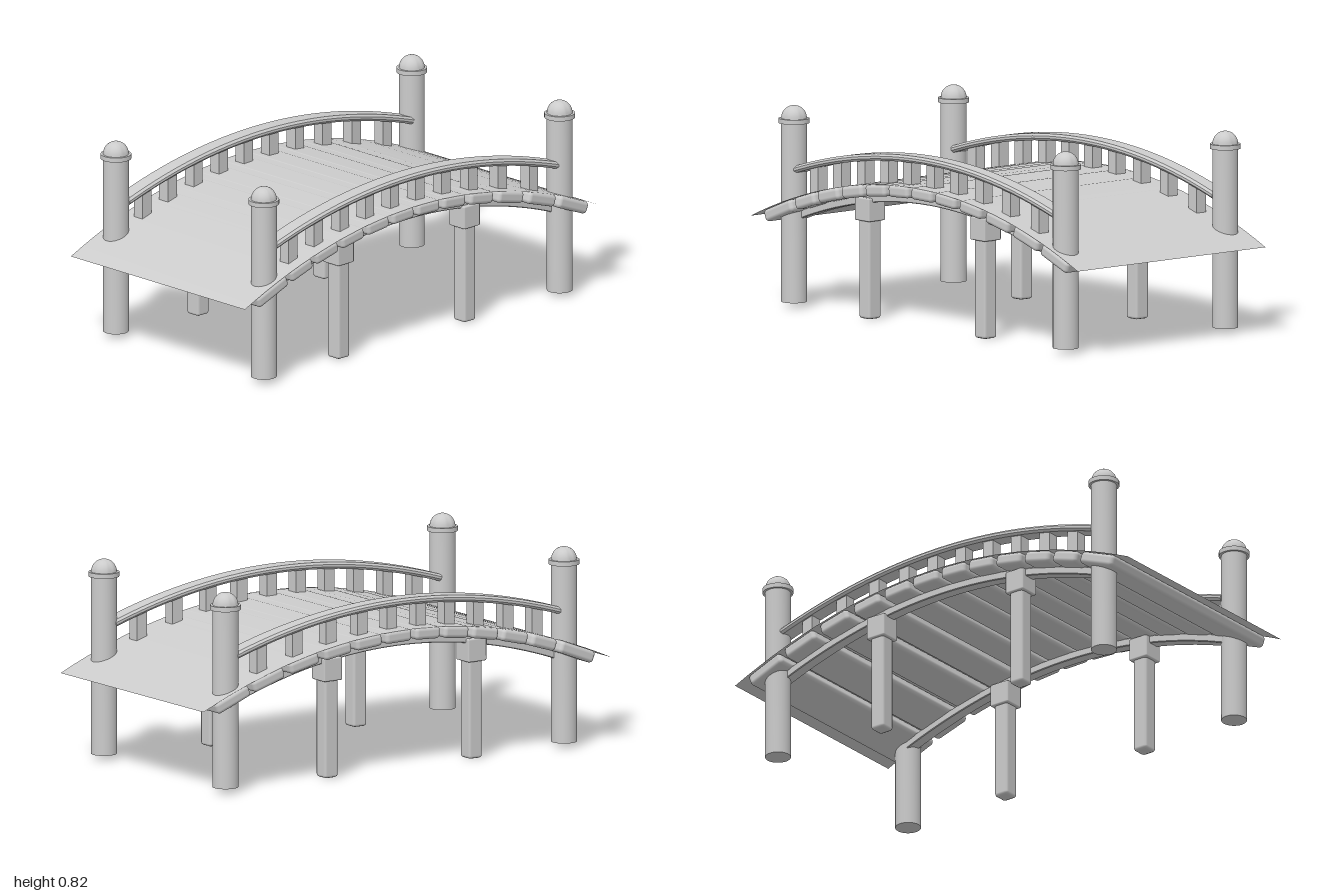
import * as THREE from 'three';
import { RoundedBoxGeometry } from 'three/addons/geometries/RoundedBoxGeometry.js';
import { toCreasedNormals } from 'three/addons/utils/BufferGeometryUtils.js';

const grey = new THREE.MeshStandardMaterial({ color: 0xcccccc });
const greyThin = new THREE.MeshStandardMaterial({ color: 0xcccccc, side: THREE.DoubleSide });

// Arched centre line of the deck
const BEND = 0.232;
const deckY = (x) => 0.556 - BEND * x * x;
const deckTilt = (x) => Math.atan(-2 * BEND * x);

export function createModel() {
  const model = new THREE.Group();

  function add(name, geometry, x, y, z, material = grey) {
    const mesh = new THREE.Mesh(geometry, material);
    mesh.name = name;
    mesh.position.set(x, y, z);
    model.add(mesh);
    return mesh;
  }

  // Sweep a convex (y, z) section along an arch y = crest - bend * x^2
  function archBeam(section, xa, xb, crest, bend, steps = 32) {
    const n = section.length, pos = [], index = [];
    for (let i = 0; i <= steps; i++) {
      const x = xa + ((xb - xa) * i) / steps;
      const tilt = Math.atan(-2 * bend * x);
      for (const [h, z] of section) {
        pos.push(x - h * Math.sin(tilt), crest - bend * x * x + h * Math.cos(tilt), z);
      }
    }
    for (let i = 0; i < steps; i++) {
      for (let j = 0; j < n; j++) {
        const a = i * n + j, b = i * n + ((j + 1) % n);
        index.push(a, b, b + n, a, b + n, a + n);
      }
    }
    const end = steps * n;
    for (let j = 1; j < n - 1; j++) {
      index.push(0, j + 1, j, end, end + j, end + j + 1);
    }
    const g = new THREE.BufferGeometry();
    g.setAttribute('position', new THREE.Float32BufferAttribute(pos, 3));
    g.setIndex(index);
    return toCreasedNormals(g, 0.5);
  }

  // Rectangle section with cut corners, running from +y toward +z
  function bevelSection(height, width, cut) {
    const h = height / 2, w = width / 2;
    return [
      [h, -w + cut], [h, w - cut], [h - cut, w], [-h + cut, w],
      [-h, w - cut], [-h, -w + cut], [-h + cut, -w], [h - cut, -w],
    ];
  }

  // Planks: [left edge, right edge]
  const planks = [
    [-0.92, -0.755], [-0.735, -0.615], [-0.595, -0.47], [-0.45, -0.325],
    [-0.305, -0.185], [-0.165, -0.045], [-0.025, 0.1], [0.12, 0.245],
    [0.27, 0.4], [0.43, 0.57], [0.6, 0.75], [0.77, 0.93],
  ];
  for (const [a, b] of planks) {
    const x = (a + b) / 2;
    const length = (b - a) / Math.cos(deckTilt(x));
    add('plank', new RoundedBoxGeometry(length, 0.05, 1, 3, 0.016), x, deckY(x), 0)
      .rotation.z = deckTilt(x);
  }

  // Thin arched deck sheet lying at the plank tops
  const sheet = new THREE.PlaneGeometry(2, 1, 32, 1).rotateX(-Math.PI / 2);
  const p = sheet.attributes.position;
  for (let i = 0; i < p.count; i++) {
    p.setY(i, 0.58 - 0.225 * p.getX(i) ** 2);
  }
  sheet.computeVertexNormals();
  add('deckSheet', sheet, 0, 0, 0, greyThin);

  // Round corner post with collar and domed cap
  const postProfile = [
    [0, 0.02], [0.052, 0.02], [0.052, 0.746], [0.062, 0.746],
    [0.062, 0.765], [0.052, 0.765],
  ];
  for (let i = 1; i <= 8; i++) {
    const a = (i / 8) * Math.PI / 2;
    postProfile.push([0.052 * Math.cos(a), 0.765 + 0.052 * Math.sin(a)]);
  }
  const postGeometry = toCreasedNormals(
    new THREE.LatheGeometry(postProfile.map(([r, y]) => new THREE.Vector2(r, y)), 32), 0.6);

  const stringerGeometry = archBeam(bevelSection(0.032, 0.05, 0.003), -0.84, 0.86, 0.519, BEND);
  const railGeometry = archBeam(bevelSection(0.028, 0.08, 0.009), -0.785, 0.81, 0.685, 0.2);

  for (const side of [1, -1]) {
    add('stringer', stringerGeometry, 0, 0, side * 0.405);
    add('handrail', railGeometry, 0, 0, side * 0.42);
    for (const x of [-0.82, 0.84]) add('cornerPost', postGeometry, x, 0, side * 0.425);

    // Balusters stand on every plank but the end ones
    for (const [a, b] of planks.slice(1, -1)) {
      const x = (a + b) / 2;
      const bottom = deckY(x), top = 0.685 - 0.2 * x * x;
      add('baluster', new THREE.BoxGeometry(0.05, top - bottom, 0.05),
        x, (top + bottom) / 2, side * 0.42);
    }

    // Square legs with bracket blocks under the stringers
    for (const x of [-0.38, 0.327]) {
      add('leg', new RoundedBoxGeometry(0.066, 0.44, 0.068, 1, 0.012), x, 0.22, side * 0.404);
      add('legBracket', new RoundedBoxGeometry(0.09, 0.095, 0.09, 1, 0.006), x, 0.446, side * 0.404);
    }
  }

  return model;
}
